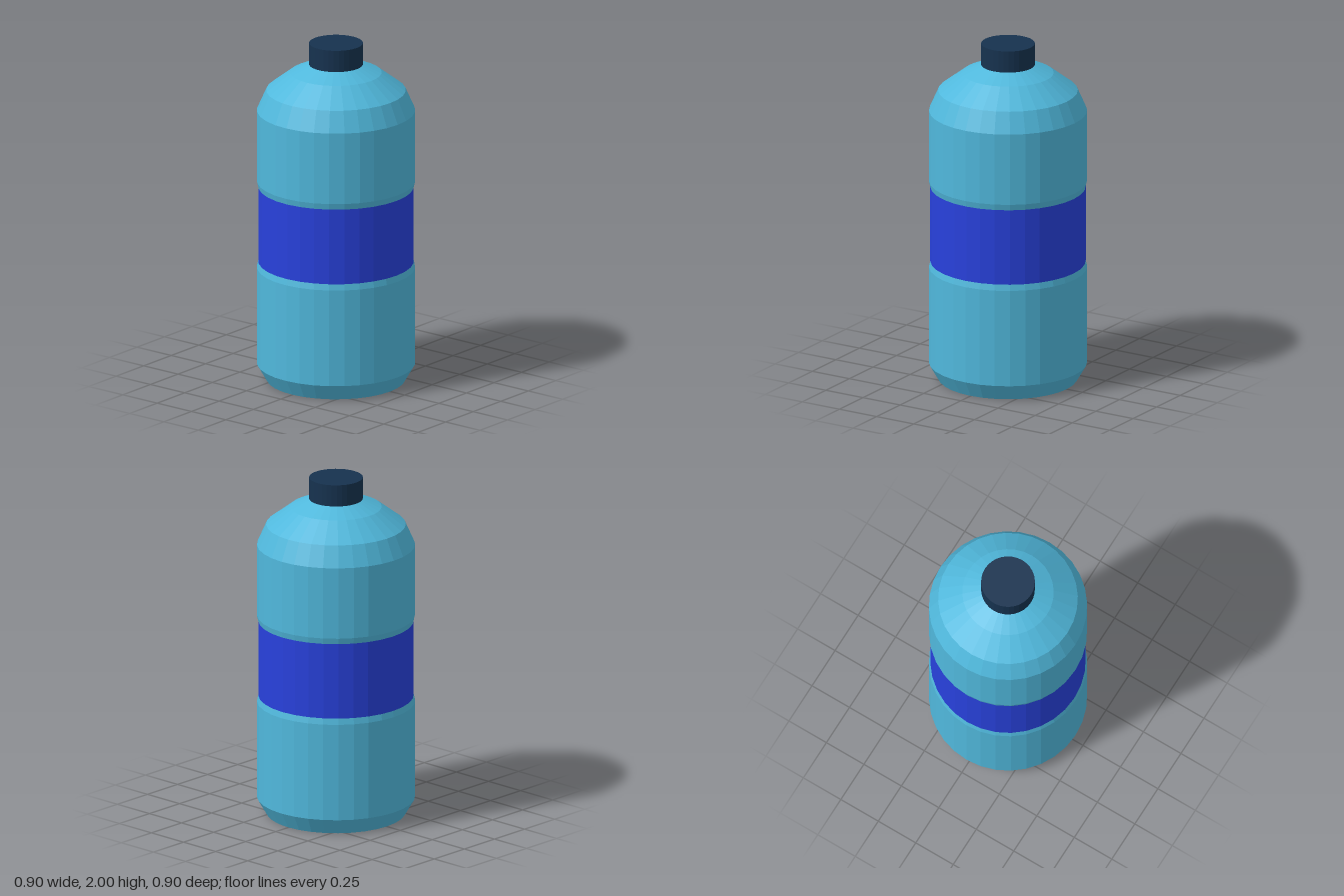
import * as THREE from 'three';

const SIDES = 32;

// Faceted surface of revolution from [radius, height] pairs, bottom to top
function turned(name, color, profile) {
  const points = profile.map(([r, y]) => new THREE.Vector2(r, y));
  const material = new THREE.MeshStandardMaterial({ color, flatShading: true });
  const mesh = new THREE.Mesh(new THREE.LatheGeometry(points, SIDES), material);
  mesh.name = name;
  return mesh;
}

export function createModel() {
  const group = new THREE.Group();
  group.name = 'bottle';
  const blue = 0x50b8dc;

  // Lower body: flat base, chamfer, wall and the step in to the label
  group.add(turned('lowerBody', blue, [
    [0, 0], [0.395, 0], [0.45, 0.095], [0.45, 0.665], [0.442, 0.7],
  ]));

  // Label band, slightly recessed
  group.add(turned('labelBand', 0x2841dc, [[0.442, 0.7], [0.442, 1.145]]));

  // Upper body: step out, wall and rounded shoulder up to the neck
  group.add(turned('upperBody', blue, [
    [0.442, 1.145], [0.45, 1.18], [0.45, 1.6], [0.397, 1.72],
    [0.26, 1.825], [0.15, 1.875],
  ]));

  // Screw cap
  group.add(turned('cap', 0x16324f, [
    [0, 1.87], [0.153, 1.87], [0.153, 2], [0, 2],
  ]));

  return group;
}
